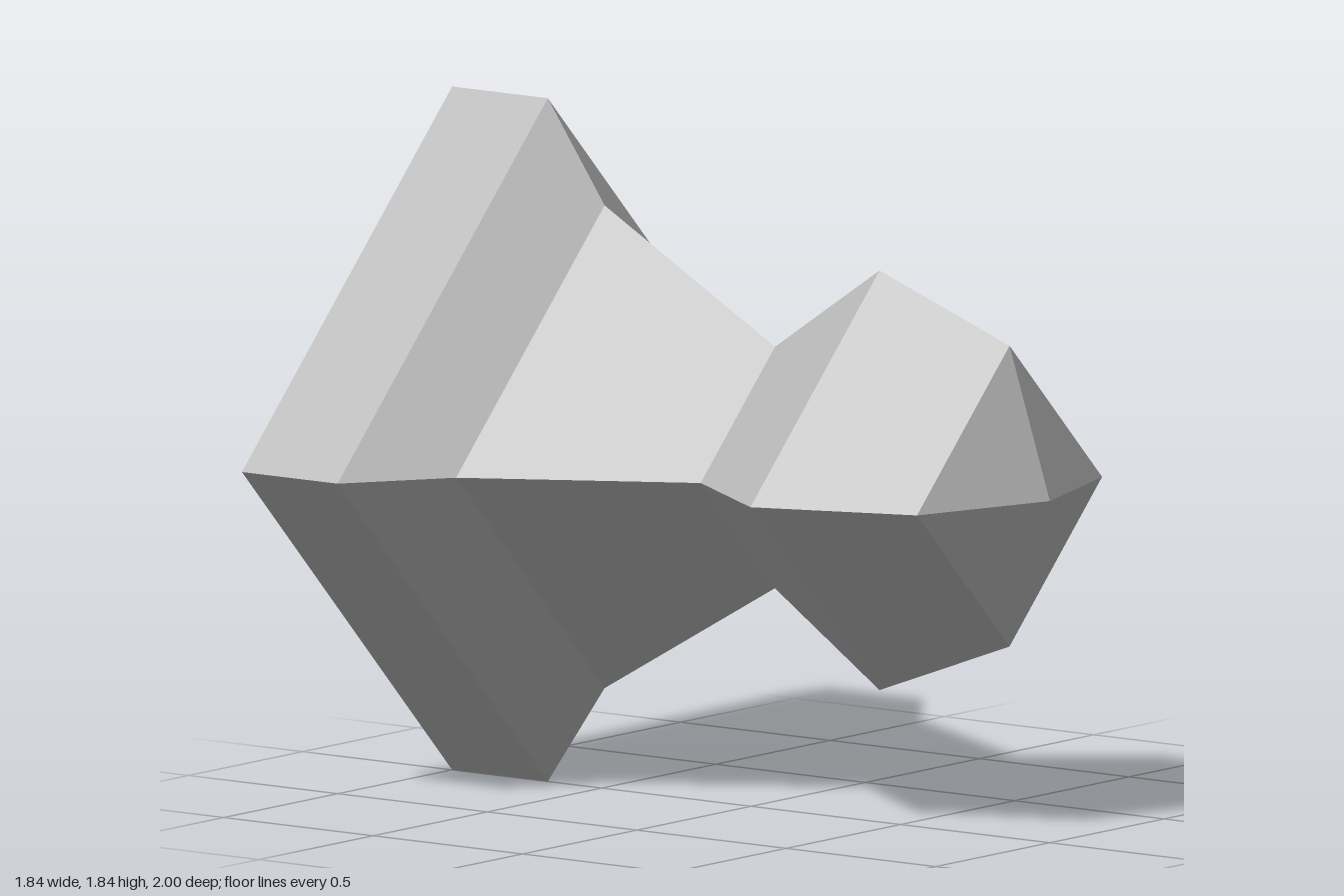
import * as THREE from 'three';

const CENTRE_Y = 0.92;

// Four-sided faceted solid of [radius, z] points, turned about the z axis
function facetedSection(name, profile, material) {
  const points = profile.map(([r, z]) => new THREE.Vector2(r, z));
  const geometry = new THREE.LatheGeometry(points, 4).rotateX(Math.PI / 2).toNonIndexed();
  geometry.computeVertexNormals(); // one normal per facet
  const mesh = new THREE.Mesh(geometry, material);
  mesh.name = name;
  mesh.position.y = CENTRE_Y;
  return mesh;
}

export function createModel() {
  const group = new THREE.Group();
  group.name = 'facetedKnob';
  const grey = new THREE.MeshStandardMaterial({ color: 0xb8b8b8 });
  grey.name = 'grey';

  group.add(
    // Square back plate with its bevel
    facetedSection('base', [[0, -1], [0.92, -1], [0.92, -0.68], [0.65, -0.49]], grey),
    // Stem tapering to the waist
    facetedSection('stem', [[0.65, -0.49], [0.325, 0.08]], grey),
    // Knob with a pointed front
    facetedSection('knob', [[0.325, 0.08], [0.565, 0.43], [0.405, 0.865], [0, 1]], grey),
  );
  return group;
}
